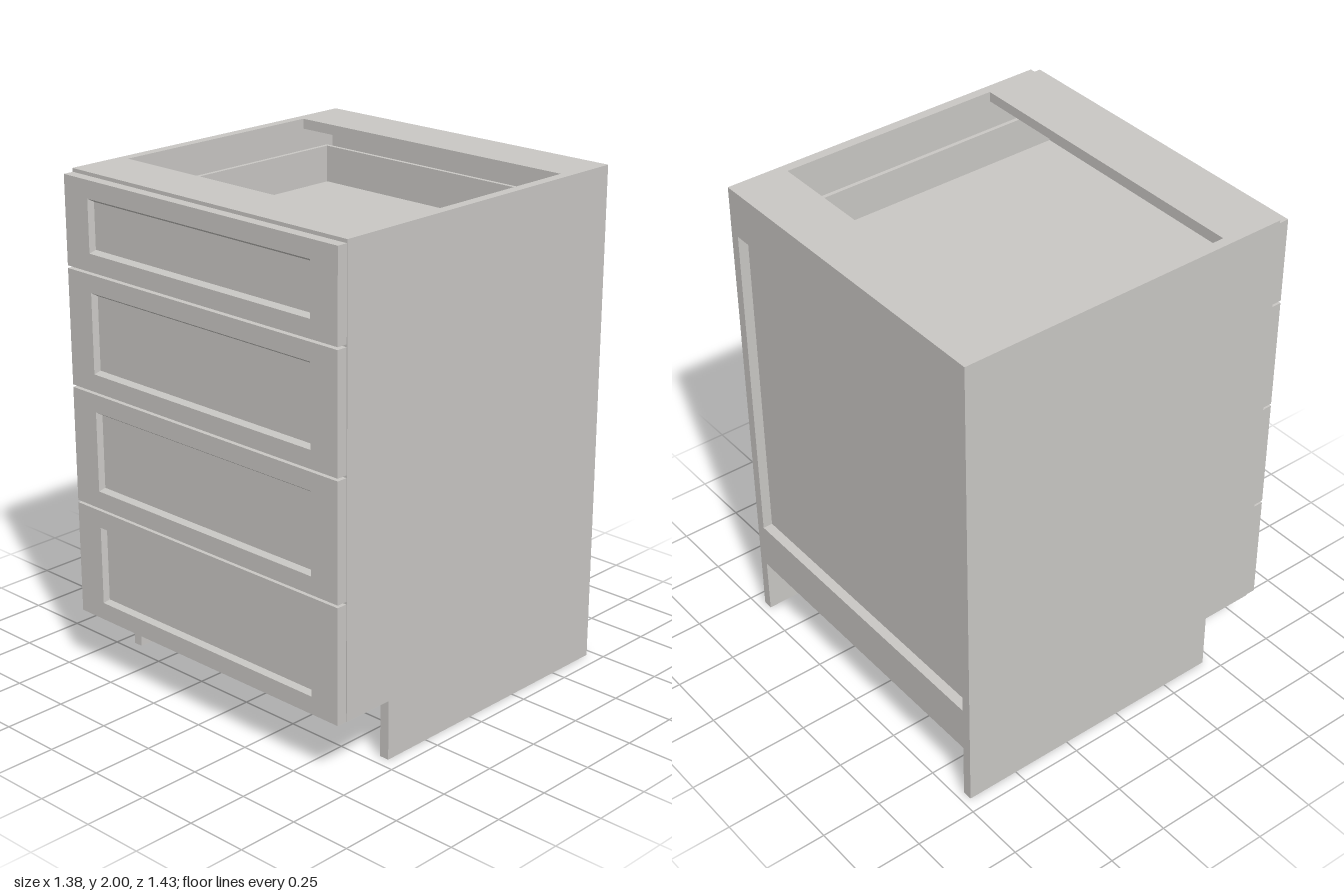
import * as THREE from 'three';

const W = 0.692, SIDE = 0.04, IN = W - SIDE;     // half width, board thickness, inner half width
const BACK = -0.717, CASE = 0.674, FRONT = 0.717; // depth planes
const TOE = 0.238, TOP = 2;

export function createModel() {
  const paint = new THREE.MeshStandardMaterial({ color: 0xc9c7c4 });
  paint.name = 'paintedGrey';
  const cabinet = new THREE.Group();
  cabinet.name = 'drawerCabinet';

  const add = (name, geometry, parent = cabinet) => {
    const mesh = new THREE.Mesh(geometry, paint);
    mesh.name = name;
    parent.add(mesh);
    return mesh;
  };

  // board given by its limits on each axis
  const board = (name, x0, x1, y0, y1, z0, z1, parent) => {
    const mesh = add(name, new THREE.BoxGeometry(x1 - x0, y1 - y0, z1 - z0), parent);
    mesh.position.set((x0 + x1) / 2, (y0 + y1) / 2, (z0 + z1) / 2);
    return mesh;
  };

  // solid lofted through rectangles [halfWidth, halfHeight, z], capped at both ends
  const loftRectangles = (rings) => {
    const loops = rings.map(([w, h, z]) => [[-w, -h, z], [w, -h, z], [w, h, z], [-w, h, z]]);
    const pos = [];
    const quad = (a, b, c, d) => pos.push(...a, ...b, ...c, ...a, ...c, ...d);
    for (let k = 0; k + 1 < loops.length; k++) {
      for (let i = 0; i < 4; i++) {
        const j = (i + 1) % 4;
        quad(loops[k][i], loops[k][j], loops[k + 1][j], loops[k + 1][i]);
      }
    }
    quad(...loops[loops.length - 1]);
    quad(...[...loops[0]].reverse());
    const g = new THREE.BufferGeometry();
    g.setAttribute('position', new THREE.Float32BufferAttribute(pos, 3));
    g.computeVertexNormals();
    return g;
  };

  // side panels with the toe notch cut out of the lower front corner
  const outline = [[BACK, 0], [0.455, 0], [0.455, TOE], [CASE, TOE], [CASE, TOP], [BACK, TOP]];
  const sideShape = new THREE.Shape(outline.map(([z, y]) => new THREE.Vector2(-z, y)));
  const sideGeo = new THREE.ExtrudeGeometry(sideShape, { depth: SIDE, bevelEnabled: false });
  sideGeo.rotateY(Math.PI / 2);
  add('leftSidePanel', sideGeo).position.x = IN;
  add('rightSidePanel', sideGeo).position.x = -W;

  // carcass boards
  board('bottomPanel', -IN, IN, TOE, TOE + SIDE, BACK, CASE);
  board('frontTopRail', -IN, IN, TOP - SIDE, TOP, 0.44, CASE);
  board('backTopRail', -IN, IN, TOP - SIDE, TOP, BACK, -0.488);
  board('upperBackStrip', -IN, IN, 1.81, TOP - SIDE, BACK, BACK + SIDE);
  board('lowerBackStrip', -IN, IN, TOE + SIDE, 0.43, BACK, BACK + SIDE);
  board('backPanel', -IN, IN, TOE + SIDE, TOP - SIDE, BACK + SIDE, BACK + SIDE + 0.02);

  // drawers: [front bottom, front top]
  const drawers = [[TOE, 0.694], [0.704, 1.164], [1.174, 1.63], [1.64, 1.986]];
  drawers.forEach(([y0, y1], n) => {
    const drawer = new THREE.Group();
    drawer.name = 'drawer' + (n + 1);
    cabinet.add(drawer);

    // front with a bevelled recessed panel
    const w = 0.689, h = (y1 - y0) / 2, iw = 0.562, ih = h - 0.07, bevel = 0.013;
    const front = add('drawerFront', loftRectangles([
      [w, h, CASE], [w, h, FRONT], [iw, ih, FRONT], [iw - bevel, ih - bevel, FRONT - 0.02],
    ]), drawer);
    front.position.y = (y0 + y1) / 2;

    // open box behind the front
    const b0 = y0 + 0.08, b1 = y1 - 0.085, zb = -0.538, zf = CASE, t = 0.016;
    const xo = 0.569, xi = xo - t;
    board('drawerLeftWall', xi, xo, b0, b1, zb, zf, drawer);
    board('drawerRightWall', -xo, -xi, b0, b1, zb, zf, drawer);
    board('drawerBackWall', -xi, xi, b0, b1, zb, zb + t, drawer);
    board('drawerFrontWall', -xi, xi, b0, b1, zf - t, zf, drawer);
    board('drawerFloor', -xi, xi, b0 + 0.02, b0 + 0.035, zb + t, zf - t, drawer);
  });

  return cabinet;
}
